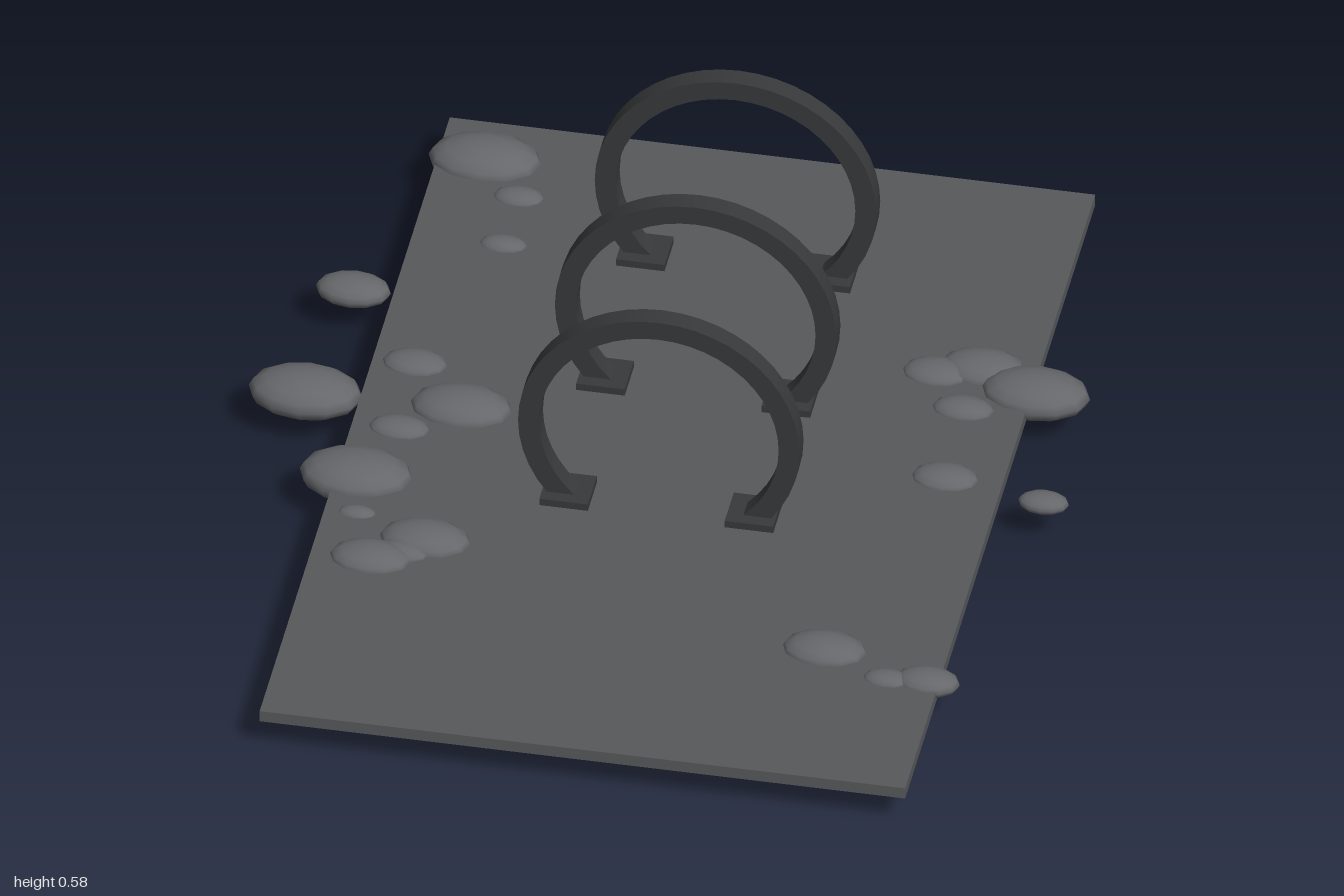
import * as THREE from 'three';
import { toCreasedNormals } from 'three/addons/utils/BufferGeometryUtils.js';

const mat = (color) => new THREE.MeshStandardMaterial({ color });

export function createModel() {
  const model = new THREE.Group();
  const slabMat = mat(0x58595b), hoopMat = mat(0x38393a), stoneMat = mat(0x66676a);

  const add = (parent, name, geometry, material, x, y, z) => {
    const mesh = new THREE.Mesh(geometry, material);
    mesh.name = name;
    mesh.position.set(x, y, z);
    parent.add(mesh);
    return mesh;
  };

  // Flat road slab
  add(model, 'roadSlab', new THREE.BoxGeometry(1.33, 0.026, 2), slabMat, 0.038, 0.086, 0);

  // Hoop: flat ring with a rectangular section
  const depth = 0.043;
  const ring = new THREE.Shape().absarc(0, 0, 0.29, 0, Math.PI * 2);
  ring.holes.push(new THREE.Path().absarc(0, 0, 0.247, 0, Math.PI * 2, true));
  const hoopGeo = toCreasedNormals(
    new THREE.ExtrudeGeometry(ring, { depth, bevelEnabled: false, curveSegments: 24 })
      .translate(0, 0, -depth / 2), 0.6);
  const footGeo = new THREE.BoxGeometry(0.1, 0.022, 0.096);

  // Three hoops in a row, each passing through the slab between two foot plates
  for (const z of [0.175, -0.213, -0.632]) {
    const gate = new THREE.Group();
    gate.name = 'hoopGate';
    gate.position.set(0.038, 0, z);
    add(gate, 'hoop', hoopGeo, hoopMat, 0, 0.29, 0);
    for (const side of [-1, 1]) add(gate, 'footPlate', footGeo, hoopMat, side * 0.191, 0.104, 0);
    model.add(gate);
  }

  // Flattened stones along both edges: x, z, half width, half depth
  const stoneGeo = new THREE.SphereGeometry(1, 12, 8);
  const stones = [
    [-0.53, -0.88, 0.117, 0.077], [-0.44, -0.77, 0.053, 0.034], [-0.44, -0.61, 0.05, 0.03],
    [-0.71, -0.41, 0.077, 0.05], [-0.54, -0.19, 0.068, 0.045], [-0.74, -0.06, 0.117, 0.077],
    [-0.42, -0.065, 0.106, 0.07], [-0.53, 0.026, 0.064, 0.04], [-0.586, 0.19, 0.117, 0.08],
    [-0.56, 0.316, 0.04, 0.023], [-0.408, 0.378, 0.095, 0.062], [-0.505, 0.458, 0.085, 0.056],
    [-0.448, 0.427, 0.06, 0.035], [0.59, -0.395, 0.09, 0.06], [0.5, -0.363, 0.07, 0.048],
    [0.71, -0.337, 0.112, 0.074], [0.577, -0.255, 0.065, 0.041], [0.585, -0.024, 0.07, 0.047],
    [0.795, 0.013, 0.052, 0.033], [0.455, 0.58, 0.088, 0.058], [0.597, 0.65, 0.05, 0.031],
    [0.678, 0.64, 0.067, 0.043],
  ];
  for (const [x, z, w, d] of stones) {
    add(model, 'stone', stoneGeo, stoneMat, x, 0.095, z).scale.set(w, w * 0.39, d);
  }

  return model;
}
